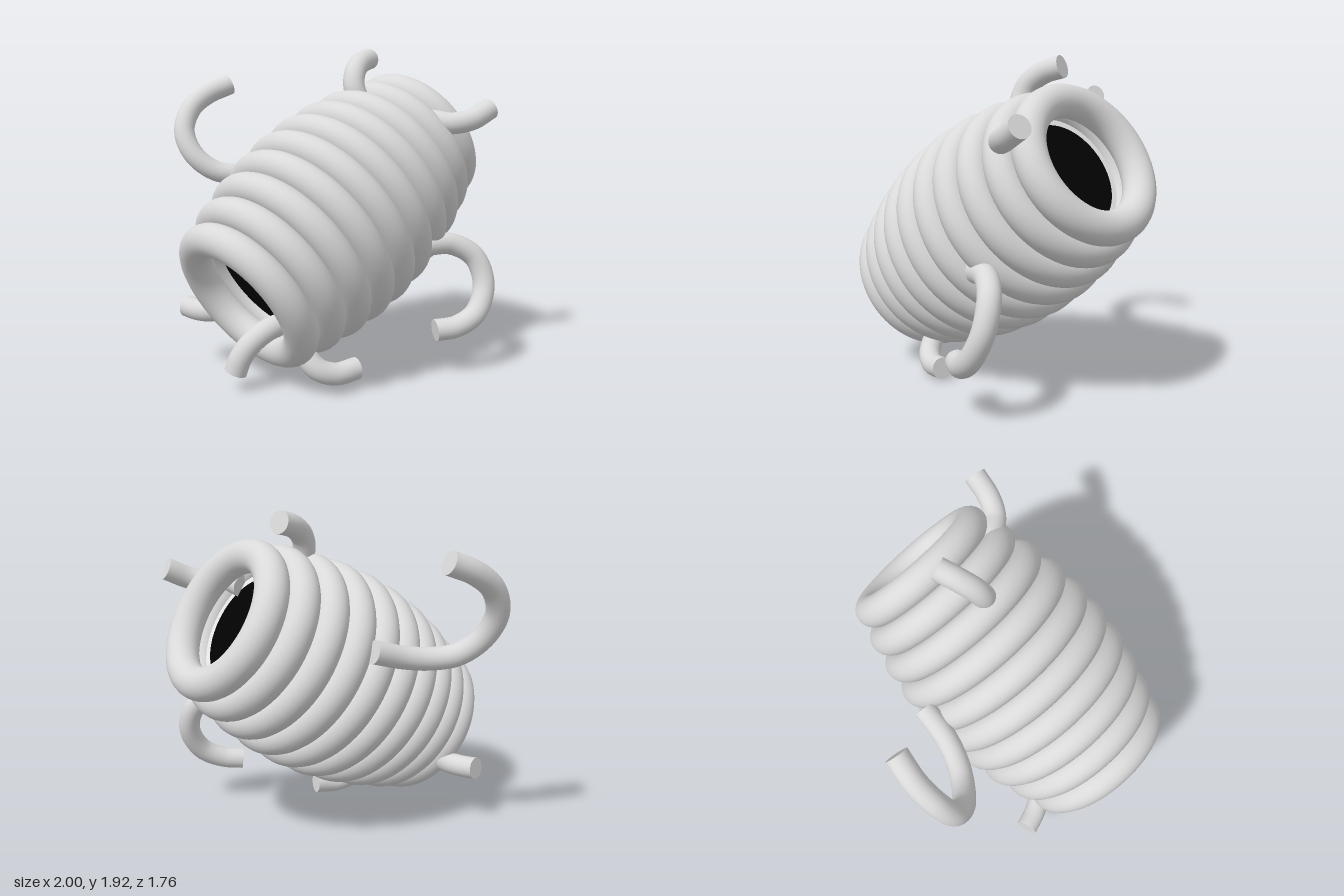
import * as THREE from 'three';

export function createModel() {
  const model = new THREE.Group();
  const mat = (name, color) => {
    const m = new THREE.MeshStandardMaterial({ color });
    m.name = name;
    return m;
  };
  const grey = mat('bodyGrey', 0xd9d9d9);
  const black = mat('hollowBlack', 0x020202);
  const white = mat('rimWhite', 0xffffff);
  const add = (name, geometry, material, parent = model) => {
    const mesh = new THREE.Mesh(geometry, material);
    mesh.name = name;
    parent.add(mesh);
    return mesh;
  };
  const Z = new THREE.Vector3(0, 0, 1);

  // Barrel body: ten stacked rings bulging in the middle, along a tilted axis
  const low = new THREE.Vector3(-0.469, 0.542, 0.462);
  const high = new THREE.Vector3(0.525, 1.346, -0.472);
  const facing = new THREE.Vector3(0.642, 0.514, -0.569).normalize();
  const body = new THREE.Group();
  body.name = 'barrelBody';
  model.add(body);
  const count = 10;
  for (let i = 0; i < count; i++) {
    const t = i / (count - 1);
    const radius = 0.397 - 0.016 * t + 0.145 * Math.sin(Math.PI * t);
    const ring = add('bodyRing', new THREE.TorusGeometry(radius, 0.094, 24, 72), grey, body);
    ring.position.lerpVectors(low, high, t);
    ring.quaternion.setFromUnitVectors(Z, facing);
  }

  // Recessed dark openings at both ends, the upper one with a white rim
  const opening = (name, t, direction, radius) => {
    const end = new THREE.Group();
    end.name = name;
    end.position.lerpVectors(low, high, t);
    end.quaternion.setFromUnitVectors(Z, direction);
    model.add(end);
    add('openingHollow', new THREE.CircleGeometry(radius, 64), black, end);
    return end;
  };
  opening('lowerOpening', 0.09, facing.clone().negate(), 0.35);
  const upper = opening('upperOpening', 0.91, facing, 0.31);
  add('openingRim', new THREE.RingGeometry(0.31, 0.365, 64), white, upper);

  // Limbs: curved round tubes with flat ends
  const limbRadius = 0.065;
  const limb = (name, points) => {
    const group = new THREE.Group();
    group.name = name;
    model.add(group);
    const curve = new THREE.CatmullRomCurve3(points.map((p) => new THREE.Vector3(...p)));
    add('limbTube', new THREE.TubeGeometry(curve, 48, limbRadius, 24), grey, group);
    for (const t of [0, 1]) {
      const cap = add('limbEnd', new THREE.CircleGeometry(limbRadius, 24), grey, group);
      cap.position.copy(curve.getPointAt(t));
      cap.quaternion.setFromUnitVectors(Z, curve.getTangentAt(t).multiplyScalar(t ? 1 : -1));
    }
  };

  // Long hooked arms at the middle
  limb('rightArm', [[-0.29, 1.2, -0.53], [-0.45, 1.15, -0.43], [-0.6, 1.135, -0.375],
    [-0.74, 1.16, -0.355], [-0.87, 1.26, -0.36], [-0.935, 1.4, -0.405],
    [-0.905, 1.54, -0.48], [-0.81, 1.635, -0.57], [-0.67, 1.7, -0.65]]);
  limb('leftArm', [[0.5, 0.75, 0.14], [0.6, 0.765, 0.095], [0.72, 0.76, 0.055],
    [0.86, 0.68, 0.04], [0.916, 0.52, 0.07], [0.86, 0.36, 0.14],
    [0.74, 0.29, 0.19], [0.61, 0.275, 0.22]]);

  // Short horns near the upper end
  limb('topHorn', [[0.17, 1.6, -0.13], [0.14, 1.69, -0.14], [0.145, 1.77, -0.18],
    [0.18, 1.83, -0.26], [0.24, 1.862, -0.36]]);
  limb('sideHorn', [[0.5, 1.47, -0.14], [0.6, 1.49, -0.06], [0.72, 1.475, -0.02],
    [0.84, 1.497, -0.04], [0.96, 1.56, -0.11]]);

  // Short feet near the lower end
  limb('frontFoot', [[-0.25, 0.36, 0.34], [-0.35, 0.345, 0.42],
    [-0.44, 0.285, 0.465], [-0.505, 0.2, 0.478], [-0.54, 0.11, 0.475]]);
  limb('leftFoot', [[-0.18, 0.29, 0.33], [-0.15, 0.19, 0.4], [-0.08, 0.11, 0.425],
    [0.02, 0.072, 0.4], [0.145, 0.083, 0.33]]);
  limb('rightFoot', [[-0.63, 0.39, 0.12], [-0.72, 0.36, 0.085],
    [-0.8, 0.355, 0.045], [-0.88, 0.365, -0.01]]);

  return model;
}
